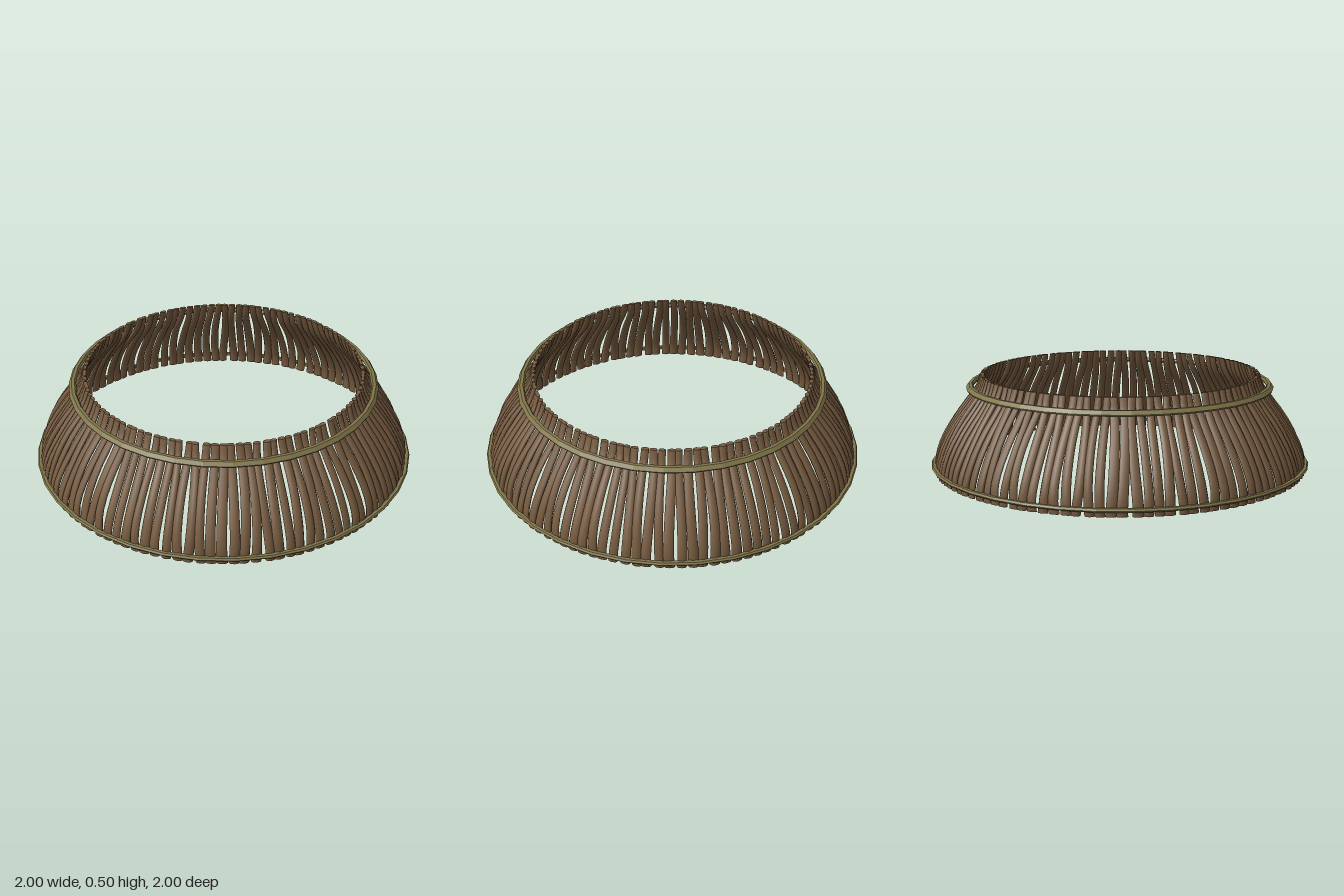
import * as THREE from 'three';
import { mergeGeometries } from 'three/addons/utils/BufferGeometryUtils.js';

const STRANDS = 112;

// small seeded random
function makeRandom(seed) {
  return () => (seed = (seed * 16807) % 2147483647) / 2147483647;
}

// centre line of one strand: x = radius, y = height
const profile = new THREE.CatmullRomCurve3([
  [0.968, 0], [0.966, 0.05], [0.95, 0.11], [0.908, 0.2], [0.845, 0.3],
  [0.785, 0.38], [0.745, 0.44], [0.722, 0.505],
].map(([r, y]) => new THREE.Vector3(r, y, 0)));

// one flattened, slightly wavy stem bent along the profile
function strandGeometry(angle, random) {
  const geo = new THREE.CylinderGeometry(1, 1, 1, 8, 12);
  const pos = geo.attributes.position;
  const phase = random() * 6.28;
  const sway = 0.003 + random() * 0.006;
  const lean = (random() - 0.5) * 0.012;
  const thick = 0.011 + random() * 0.004;
  const scale = 0.92 + random() * 0.16;
  for (let i = 0; i < pos.count; i++) {
    const t = pos.getY(i) + 0.5;
    const c = profile.getPoint(t);
    const d = profile.getTangent(t);
    const ends = t < 0.01 || t > 0.99;
    const out = pos.getX(i) * thick * (t > 0.8 ? 0.85 : 1);
    const width = (0.0255 - 0.0065 * t) * scale;
    const bump = Math.sin(phase * 2 + t * 8) * 0.004 * Math.sin(Math.PI * t);
    const wave = Math.sin(phase + t * 5) * sway + lean * (t - 0.5);
    pos.setXYZ(i,
      c.x + out * (ends ? 1 : d.y) + bump,
      c.y - (ends ? 0 : out * d.x),
      pos.getZ(i) * width + wave);
  }
  geo.computeVertexNormals();
  return geo.rotateY(-angle);
}

// binding hoop swept from a closed cross-section of [radius, height] points
function hoop(name, section, material) {
  const points = [...section, section[0]].map(([r, y]) => new THREE.Vector2(r, y));
  const flat = new THREE.LatheGeometry(points, 36).toNonIndexed();
  flat.computeVertexNormals();
  const mesh = new THREE.Mesh(flat, material);
  mesh.name = name;
  return mesh;
}

export function createModel() {
  const group = new THREE.Group();
  group.name = 'wovenCollar';

  const brown = new THREE.MeshStandardMaterial({ color: 0x755a3f });
  brown.name = 'brown stems';
  const olive = new THREE.MeshStandardMaterial({ color: 0x81764a });
  olive.name = 'olive binding';

  // ring of upright stems
  const random = makeRandom(4217);
  const stems = [];
  for (let i = 0; i < STRANDS; i++) {
    stems.push(strandGeometry((i + 0.5) / STRANDS * Math.PI * 2, random));
  }
  const strands = new THREE.Mesh(mergeGeometries(stems), brown);
  strands.name = 'strands';
  group.add(strands);

  // lower hoop hugs the foot, upper hoop stands clear of the neck
  group.add(hoop('lowerHoop', [
    [0.978, 0.026], [0.994, 0.026], [1.0, 0.034], [0.994, 0.044], [0.978, 0.044],
  ], olive));
  group.add(hoop('upperHoop', [
    [0.776, 0.43], [0.804, 0.428], [0.808, 0.436], [0.794, 0.455], [0.778, 0.455], [0.77, 0.442],
  ], olive));

  return group;
}
